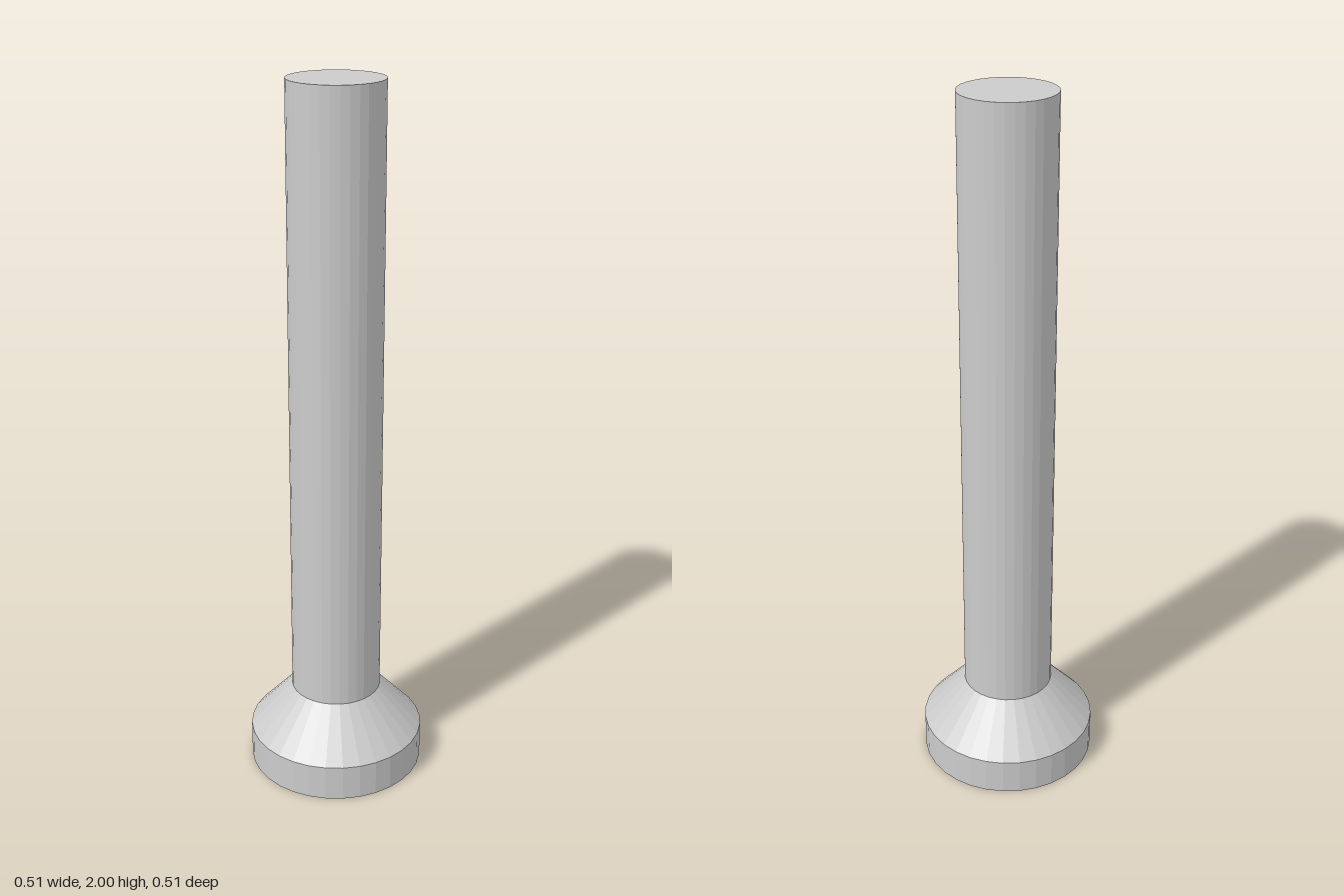
import * as THREE from 'three';

const SIDES = 32;

export function createModel() {
  const group = new THREE.Group();
  group.name = 'flaredPost';
  const material = new THREE.MeshStandardMaterial({ color: 0xcccccc, flatShading: true });

  // Turns a closed [radius, height] profile around the y axis
  const turned = (name, profile) => {
    const points = profile.map(([r, y]) => new THREE.Vector2(r, y));
    const mesh = new THREE.Mesh(new THREE.LatheGeometry(points, SIDES), material);
    mesh.name = name;
    group.add(mesh);
  };

  // Base disc with its sloping shoulder
  turned('flaredBase', [[0, 0], [0.253, 0], [0.253, 0.105], [0.13, 0.24]]);

  // Long straight shaft with a flat top
  turned('shaft', [[0.13, 0.24], [0.13, 2], [0, 2]]);

  return group;
}
